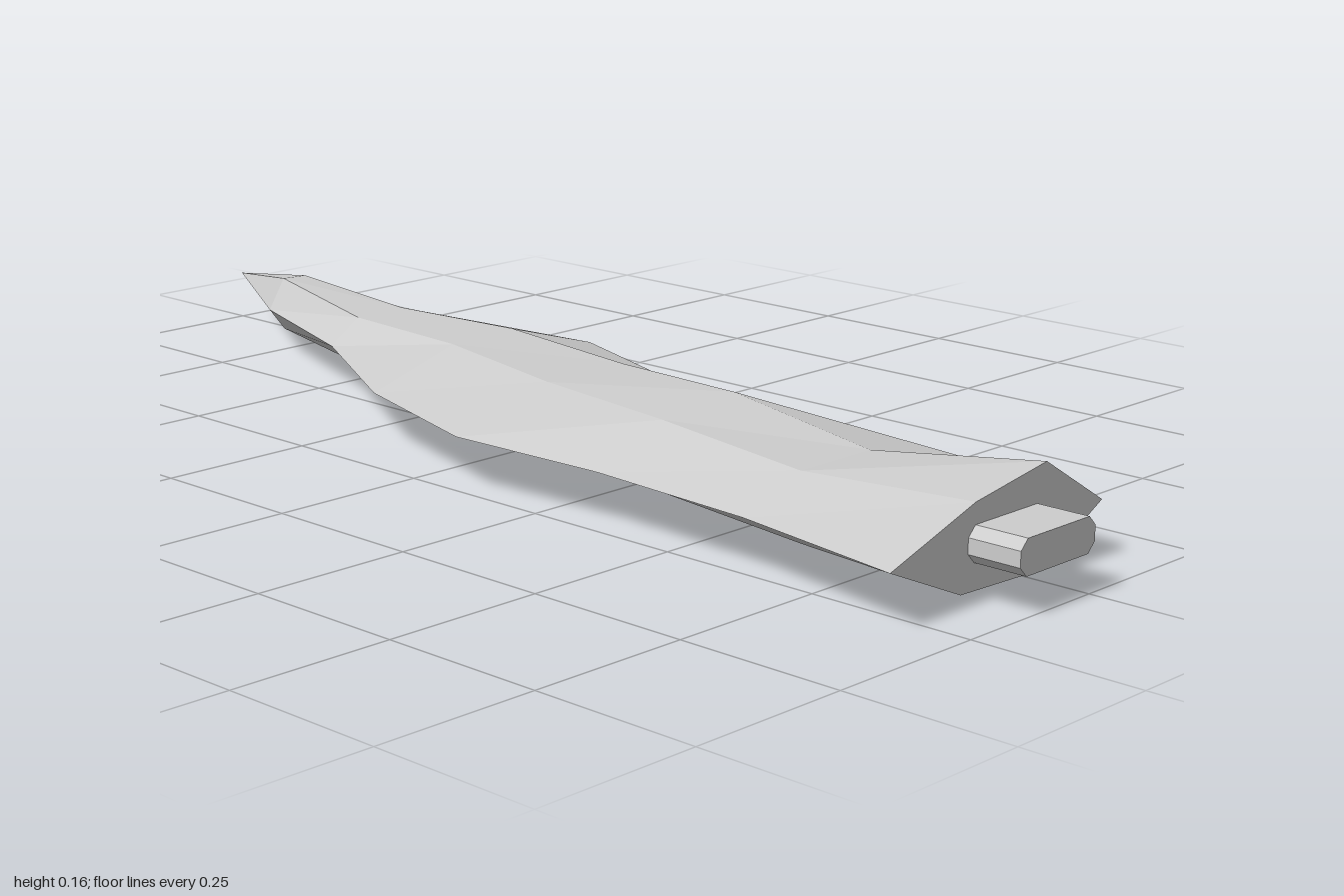
import * as THREE from 'three';

const EDGE_Y = 0.08; // height of both cutting edges
const TIP = [0.25, EDGE_Y, -1];

// Hexagonal cross-sections from the base to just before the tip:
// z, right edge x, upper right x y, upper left x y, left edge x, lower left x y, lower right x y
const SECTIONS = [
  [0.92, 0.14, 0.01, 0.158, -0.14, 0.135, -0.31, -0.165, 0.018, 0.008, 0.012],
  [0.64, 0.18, 0.0, 0.12, -0.145, 0.12, -0.26, -0.14, 0.018, 0.025, 0.0],
  [0.36, 0.19, 0.04, 0.143, -0.11, 0.13, -0.24, -0.11, 0.025, 0.05, 0.014],
  [0.09, 0.21, 0.095, 0.128, -0.065, 0.128, -0.25, -0.065, 0.034, 0.088, 0.03],
  [-0.18, 0.305, 0.128, 0.132, 0.0, 0.128, -0.165, 0.0, 0.042, 0.125, 0.038],
  [-0.455, 0.205, 0.142, 0.12, 0.048, 0.118, -0.01, 0.048, 0.04, 0.145, 0.033],
  [-0.73, 0.2, 0.17, 0.128, 0.122, 0.13, 0.09, 0.122, 0.042, 0.17, 0.04],
];

function bladeGeometry() {
  const rings = SECTIONS.map(([z, r, ax, ay, bx, by, l, cx, cy, dx, dy]) => [
    [r, EDGE_Y, z], [ax, ay, z], [bx, by, z], [l, EDGE_Y, z], [cx, cy, z], [dx, dy, z],
  ]);
  rings.push(Array(6).fill(TIP));
  const points = [];
  const tri = (a, b, c) => points.push(...a, ...b, ...c);

  // Facets between neighbouring sections, closing in a point
  for (let i = 0; i < rings.length - 1; i++) {
    for (let j = 0; j < 6; j++) {
      const k = (j + 1) % 6;
      const a = rings[i][j], b = rings[i][k], c = rings[i + 1][k], d = rings[i + 1][j];
      tri(a, c, b);
      if (i < rings.length - 2) tri(a, d, c);
    }
  }
  // Flat base cap
  for (let j = 1; j < 5; j++) tri(rings[0][0], rings[0][j], rings[0][j + 1]);

  const geometry = new THREE.BufferGeometry();
  geometry.setAttribute('position', new THREE.Float32BufferAttribute(points, 3));
  geometry.computeVertexNormals();
  return geometry;
}

// Bar with chamfered corners
function tangGeometry() {
  const w = 0.08, h = 0.025, c = 0.014;
  const shape = new THREE.Shape([
    [w, -h + c], [w, h - c], [w - c, h], [-w + c, h],
    [-w, h - c], [-w, -h + c], [-w + c, -h], [w - c, -h],
  ].map(([x, y]) => new THREE.Vector2(x, y)));
  return new THREE.ExtrudeGeometry(shape, { depth: 0.1, bevelEnabled: false });
}

export function createModel() {
  const group = new THREE.Group();
  group.name = 'bladeShard';
  const steel = new THREE.MeshStandardMaterial({ color: 0xcccccc });
  steel.name = 'pale grey';
  steel.flatShading = true;

  const blade = new THREE.Mesh(bladeGeometry(), steel);
  blade.name = 'blade';

  const tang = new THREE.Mesh(tangGeometry(), steel);
  tang.name = 'tang';
  tang.position.set(-0.073, EDGE_Y, 0.9);

  group.add(blade, tang);
  return group;
}
